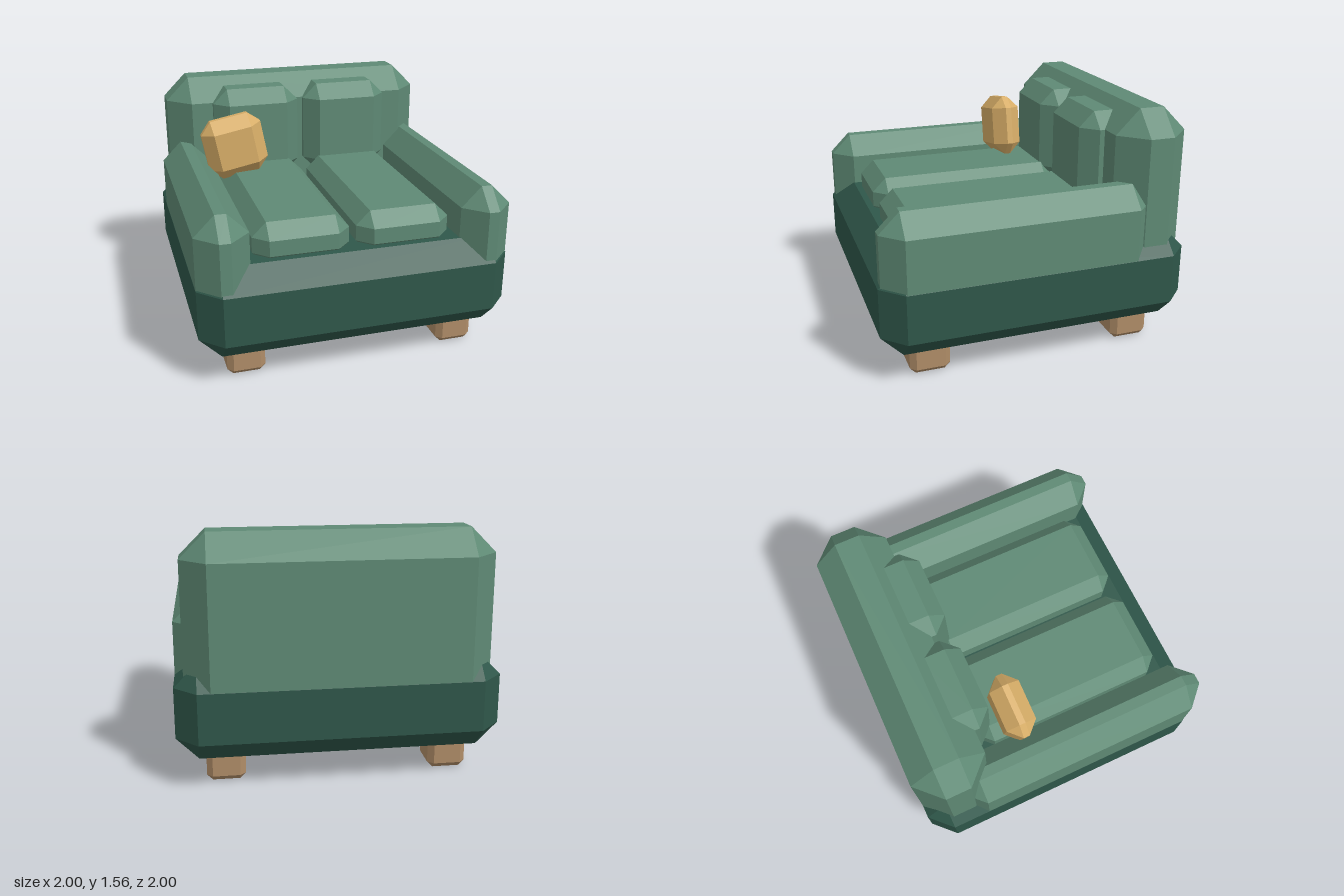
import * as THREE from 'three';
import { ConvexGeometry } from 'three/addons/geometries/ConvexGeometry.js';

const upholstery = new THREE.MeshStandardMaterial({ name: 'sage green fabric', color: 0x5f8a75 });
const baseFabric = new THREE.MeshStandardMaterial({ name: 'dark green fabric', color: 0x2f574a });
const pillowFabric = new THREE.MeshStandardMaterial({ name: 'golden fabric', color: 0xd8ae68 });
const wood = new THREE.MeshStandardMaterial({ name: 'light wood', color: 0xb08d68 });

// Box between two corners, every edge cut by c and every corner closed by a triangle
function chamferBox(name, material, [x0, y0, z0], [x1, y1, z1], c) {
  const hx = (x1 - x0) / 2, hy = (y1 - y0) / 2, hz = (z1 - z0) / 2;
  const points = [];
  for (const sx of [-1, 1]) for (const sy of [-1, 1]) for (const sz of [-1, 1]) {
    points.push(
      new THREE.Vector3(sx * hx, sy * (hy - c), sz * (hz - c)),
      new THREE.Vector3(sx * (hx - c), sy * hy, sz * (hz - c)),
      new THREE.Vector3(sx * (hx - c), sy * (hy - c), sz * hz));
  }
  const mesh = new THREE.Mesh(new ConvexGeometry(points), material);
  mesh.name = name;
  mesh.position.set((x0 + x1) / 2, (y0 + y1) / 2, (z0 + z1) / 2);
  return mesh;
}

export function createModel() {
  const sofa = new THREE.Group();
  sofa.name = 'sofa';

  // Base and backrest
  sofa.add(chamferBox('base', baseFabric, [-1, 0.185, -1], [1, 0.78, 1], 0.138));
  sofa.add(chamferBox('backrest', upholstery, [-0.94, 0.45, -0.999], [0.94, 1.56, -0.522], 0.158));

  // Mirrored arms, cushions and legs
  for (const [side, s] of [['left', 1], ['right', -1]]) {
    const pair = (name, material, xIn, xOut, y, z, c) => sofa.add(chamferBox(
      name, material,
      [Math.min(s * xIn, s * xOut), y[0], z[0]],
      [Math.max(s * xIn, s * xOut), y[1], z[1]], c));

    pair(side + 'Arm', upholstery, 0.67, 0.999, [0.47, 1.11], [-0.74, 0.985], 0.13);
    pair(side + 'SeatCushion', upholstery, 0.022, 0.635, [0.70, 0.98], [-0.49, 0.825], 0.09);
    pair(side + 'BackCushion', upholstery, 0.022, 0.635, [0.85, 1.50], [-0.75, -0.39], 0.1);
    pair(side + 'FrontLeg', wood, 0.58, 0.822, [0, 0.26], [0.555, 0.812], 0.036);
    pair(side + 'BackLeg', wood, 0.58, 0.822, [0, 0.26], [-0.808, -0.552], 0.036);
  }

  // Tilted throw pillow
  const pillow = chamferBox('throwPillow', pillowFabric, [-0.75, 0.955, -0.34], [-0.33, 1.375, -0.14], 0.08);
  pillow.rotation.z = 0.19;
  sofa.add(pillow);

  return sofa;
}
